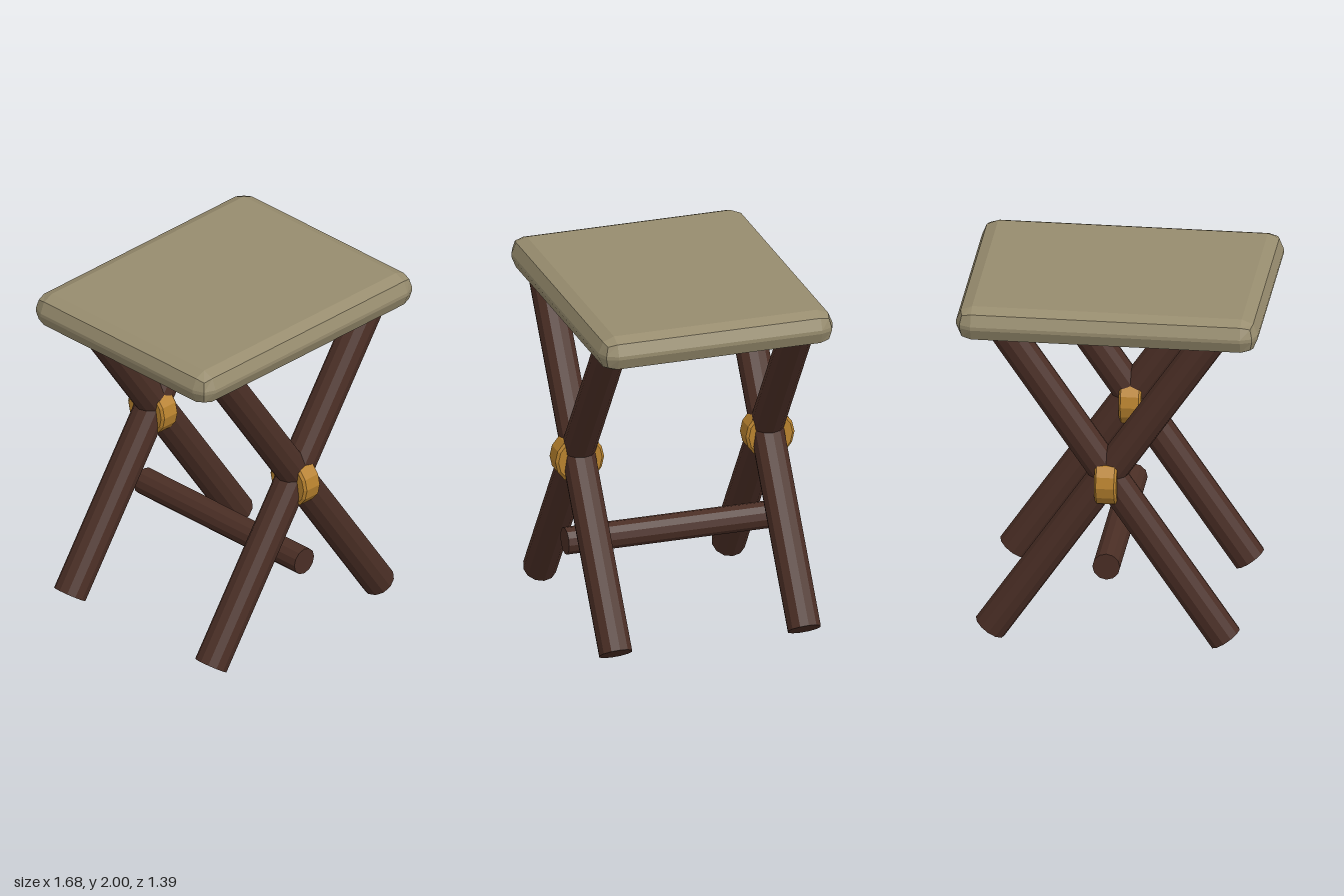
import * as THREE from 'three';
import { RoundedBoxGeometry } from 'three/addons/geometries/RoundedBoxGeometry.js';

function material(name, color) {
  const m = new THREE.MeshStandardMaterial({ color, flatShading: true });
  m.name = name;
  return m;
}

export function createModel() {
  const model = new THREE.Group();
  model.name = 'foldingStool';
  const canvas = material('canvas', 0x978c6e);
  const wood = material('darkWood', 0x4a2e25);
  const brass = material('brass', 0xb8822e);

  function add(name, geometry, mat) {
    const mesh = new THREE.Mesh(geometry, mat);
    mesh.name = name;
    model.add(mesh);
    return mesh;
  }

  // Round bar between two points
  function bar(name, a, b, radius, sides) {
    const dir = b.clone().sub(a);
    const mesh = add(name, new THREE.CylinderGeometry(radius, radius, dir.length(), sides), wood);
    mesh.position.copy(a).add(b).multiplyScalar(0.5);
    mesh.quaternion.setFromUnitVectors(new THREE.Vector3(0, 1, 0), dir.normalize());
  }

  // Padded seat with softened edges
  add('seat', new RoundedBoxGeometry(1.68, 0.2, 1.365, 1, 0.09), canvas).position.y = 1.9;

  // Bevelled pivot disc profile, spun about its axis
  const pivotProfile = [[0, -0.062], [0.127, -0.062], [0.142, -0.05], [0.142, 0.05], [0.127, 0.062], [0, 0.062]]
    .map(([r, h]) => new THREE.Vector2(r, h));

  for (const side of [1, -1]) {
    const end = side > 0 ? 'front' : 'back';
    const z = 0.55 * side;

    // Crossed pair of legs
    for (const s of [1, -1]) {
      bar(`${end}${s > 0 ? 'Left' : 'Right'}Leg`,
        new THREE.Vector3(0.655 * s, 0.054, z),
        new THREE.Vector3(-0.58 * s, 1.866, z), 0.095, 12);
    }

    // Pivot where the legs cross
    const pivot = add(`${end}Pivot`, new THREE.LatheGeometry(pivotProfile, 14), brass);
    pivot.rotation.z = Math.PI / 2;
    pivot.position.set(0, 0.98, 0.555 * side);
  }

  // Stretcher rod running front to back
  bar('stretcher', new THREE.Vector3(0, 0.48, -0.625), new THREE.Vector3(0, 0.48, 0.625), 0.077, 12);

  return model;
}
